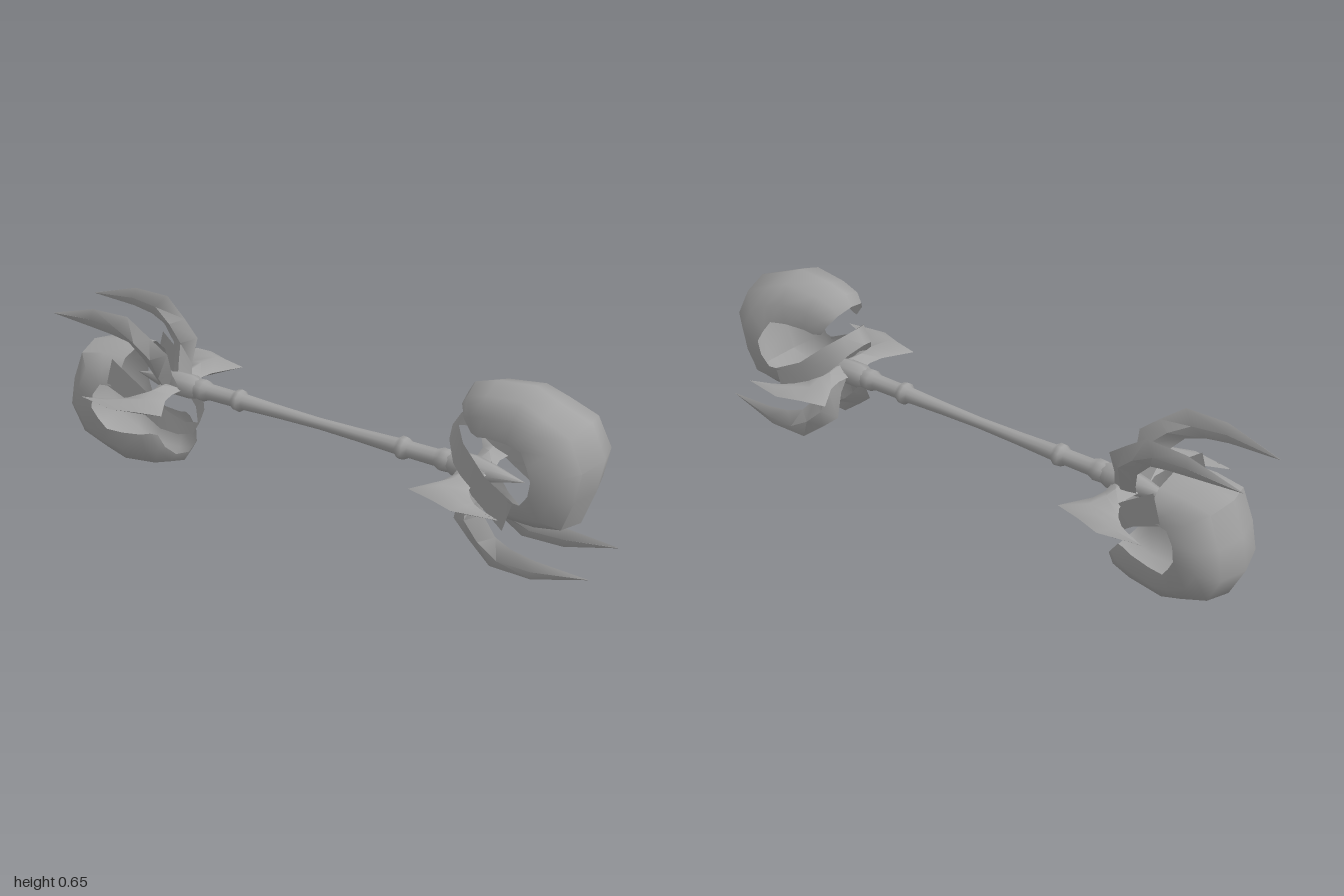
import * as THREE from 'three';
import { toCreasedNormals } from 'three/addons/utils/BufferGeometryUtils.js';

const MID = 0.324; // height of the shaft axis
const metal = new THREE.MeshStandardMaterial({ color: 0xa2a2a2, side: THREE.DoubleSide });
metal.name = 'grey metal';

// Skin a list of cross-sections, each a list of [x, y, z]
function loft(rings, closed, crease = 0.9) {
  const n = rings[0].length, index = [];
  for (let i = 0; i < rings.length - 1; i++) {
    for (let j = 0; j < (closed ? n : n - 1); j++) {
      const a = i * n + j, b = i * n + (j + 1) % n;
      index.push(a, b, a + n, b, b + n, a + n);
    }
  }
  const g = new THREE.BufferGeometry();
  g.setAttribute('position', new THREE.Float32BufferAttribute(rings.flat(2), 3));
  g.setIndex(index);
  return toCreasedNormals(g, crease);
}

function part(name, geometry) {
  const m = new THREE.Mesh(geometry, metal);
  m.name = name;
  return m;
}

// Curved open shell: outer ridge x,y / side rim x,y / half width
function maskGeometry() {
  const stations = [
    [0.53, 0.575, 0.59, 0.49, 0.09], [0.55, 0.612, 0.615, 0.487, 0.1],
    [0.62, 0.635, 0.65, 0.497, 0.108], [0.75, 0.648, 0.72, 0.502, 0.122],
    [0.825, 0.615, 0.775, 0.497, 0.135], [0.93, 0.575, 0.80, 0.46, 0.146],
    [0.98, 0.47, 0.82, 0.42, 0.155], [0.96, 0.36, 0.812, 0.37, 0.152],
    [0.92, 0.245, 0.785, 0.33, 0.145], [0.82, 0.222, 0.75, 0.328, 0.138],
    [0.72, 0.22, 0.71, 0.335, 0.13],
  ];
  const arc = [[0, -1], [0.45, -0.97], [0.84, -0.65], [1, 0], [0.84, 0.65], [0.45, 0.97], [0, 1]];
  return loft(stations.map(([ox, oy, ix, iy, w]) =>
    arc.map(([f, s]) => [ix + (ox - ix) * f, iy + (oy - iy) * f, s * w])), false);
}

// Band running from one side of the shell round the front to the other
function jawGeometry() {
  const half = [
    [0.76, 0.328, 0.73, 0.225, 0.138], [0.66, 0.378, 0.62, 0.305, 0.126],
    [0.57, 0.455, 0.54, 0.38, 0.1], [0.53, 0.485, 0.5, 0.43, 0.055],
  ];
  const side = s => half.map(([ix, iy, ox, oy, z]) => [[ix, iy, s * z], [ox, oy, s * z]]);
  return loft([...side(1), [[0.51, 0.5, 0], [0.48, 0.45, 0]], ...side(-1).reverse()], false);
}

// Blade sections: edge A u,v / edge B u,v / half thickness / sideways offset
function bladeGeometry(stations, place) {
  return loft(stations.map(([au, av, bu, bv, t, off]) => {
    const u = (au + bu) / 2, v = (av + bv) / 2;
    return [place(au, av, off), place(u, v, off + t), place(bu, bv, off), place(u, v, off - t)];
  }), true, 1.1);
}

const CLAW = [
  [0.53, 0.34, 0.61, 0.34, 0.025, 0.03], [0.545, 0.27, 0.62, 0.29, 0.028, 0.055],
  [0.54, 0.185, 0.64, 0.225, 0.03, 0.083], [0.60, 0.135, 0.69, 0.17, 0.03, 0.096],
  [0.68, 0.073, 0.75, 0.152, 0.024, 0.108], [0.82, 0.075, 0.83, 0.142, 0.014, 0.113],
  [1.0, 0.13, 1.0, 0.132, 0.001, 0.108],
];
const SPIKE = [
  [0.52, 0.01, 0.62, 0.01, 0.026, 0], [0.53, 0.08, 0.605, 0.08, 0.024, 0],
  [0.52, 0.13, 0.615, 0.135, 0.027, 0], [0.46, 0.228, 0.64, 0.175, 0.028, 0],
  [0.55, 0.25, 0.67, 0.205, 0.022, 0], [0.63, 0.277, 0.70, 0.222, 0.014, 0],
  [0.77, 0.251, 0.77, 0.253, 0.001, 0],
];

function makeHead() {
  const head = new THREE.Group();
  head.add(part('mask', maskGeometry()), part('jawBand', jawGeometry()));
  for (const s of [1, -1]) {
    head.add(part('claw', bladeGeometry(CLAW, (u, v, o) => [u, v, s * o])));
    head.add(part('sideSpike', bladeGeometry(SPIKE, (u, v, o) => [u, MID + 0.004 + o, s * v])));
  }
  // Socket holding the blades
  const profile = [[0.027, 0.46], [0.042, 0.5], [0.042, 0.56], [0.03, 0.62], [0.001, 0.73]];
  const socket = part('socket', new THREE.LatheGeometry(profile.map(p => new THREE.Vector2(...p)), 8));
  socket.rotation.z = -Math.PI / 2;
  socket.position.y = MID;
  head.add(socket);
  return head;
}

export function createModel() {
  const model = new THREE.Group();
  model.name = 'doubleStaff';

  // Shaft with collars, mirrored about the middle
  const half = [
    [0.019, 0], [0.022, 0.15], [0.027, 0.29], [0.038, 0.305], [0.036, 0.32],
    [0.027, 0.335], [0.028, 0.43], [0.037, 0.45], [0.036, 0.47], [0.03, 0.5],
  ];
  const points = [...half.slice(1).reverse().map(([r, y]) => [r, -y]), ...half];
  const shaft = part('shaft', new THREE.LatheGeometry(points.map(p => new THREE.Vector2(...p)), 10));
  shaft.rotation.z = -Math.PI / 2;
  shaft.position.y = MID;
  model.add(shaft);

  // Two heads, the second turned half round about the middle
  const leftHead = makeHead();
  leftHead.name = 'leftHead';
  const rightHead = makeHead();
  rightHead.name = 'rightHead';
  rightHead.rotation.z = Math.PI;
  rightHead.position.y = 2 * MID;
  model.add(leftHead, rightHead);
  return model;
}
